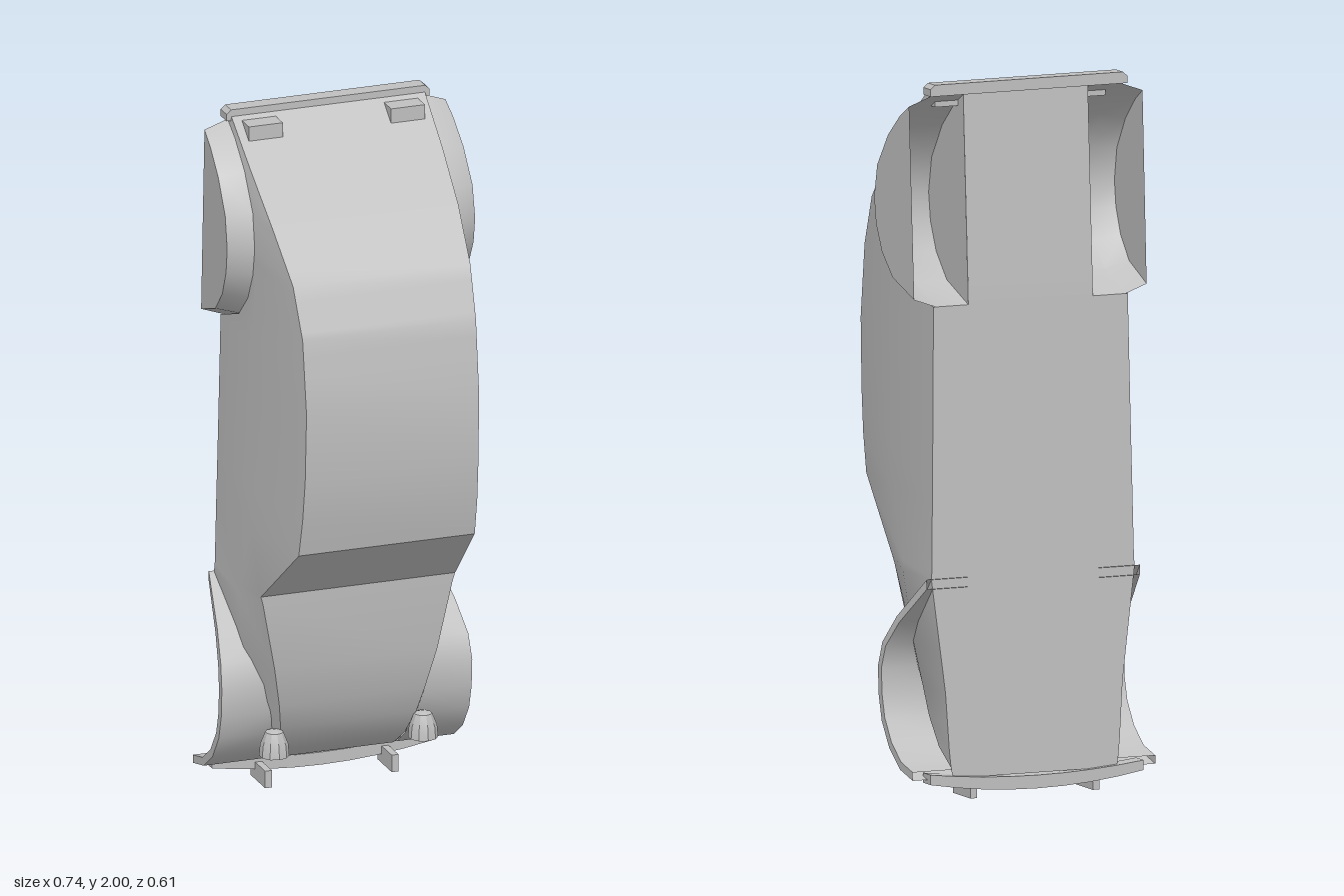
import * as THREE from 'three';
import { toCreasedNormals } from 'three/addons/utils/BufferGeometryUtils.js';

const grey = new THREE.MeshStandardMaterial({ color: 0xc0c0c0, side: THREE.DoubleSide });
grey.name = 'plain grey';

const lerp = THREE.MathUtils.lerp;

// Linear interpolation of column c in a table sorted by its first column
function sample(table, y, c) {
  for (let i = 1; i < table.length; i++) {
    const a = table[i - 1], b = table[i];
    if (y <= b[0]) return lerp(a[c], b[c], (y - a[0]) / (b[0] - a[0]));
  }
  return table[table.length - 1][c];
}

// Skin a list of equal-length sections; capped ends are filled as fans
function loft(name, sections, { closed = false, caps = false, skip = () => false } = {}) {
  const pos = [];
  const tri = (a, b, c) => pos.push(...a, ...b, ...c);
  const n = sections[0].length;
  for (let i = 0; i + 1 < sections.length; i++) {
    const a = sections[i], b = sections[i + 1];
    for (let j = 0; j < (closed ? n : n - 1); j++) {
      if (skip(i, j)) continue;
      const k = (j + 1) % n;
      tri(a[j], a[k], b[k]);
      tri(a[j], b[k], b[j]);
    }
  }
  if (caps) {
    const s = sections[0], e = sections[sections.length - 1];
    for (let j = 1; j + 1 < n; j++) {
      tri(s[0], s[j + 1], s[j]);
      tri(e[0], e[j], e[j + 1]);
    }
  }
  const g = new THREE.BufferGeometry();
  g.setAttribute('position', new THREE.Float32BufferAttribute(pos, 3));
  const mesh = new THREE.Mesh(toCreasedNormals(g, 0.5), grey);
  mesh.name = name;
  return mesh;
}

function box(name, w, h, d, x, y, z) {
  const m = new THREE.Mesh(new THREE.BoxGeometry(w, h, d), grey);
  m.name = name;
  m.position.set(x, y, z);
  return m;
}

// Body rows: y, top z, top half width, lower half width
const body = [
  [0.06, -0.26, 0.17, 0.25], [0.09, -0.17, 0.18, 0.255], [0.14, -0.10, 0.185, 0.26],
  [0.22, -0.045, 0.2, 0.265], [0.3, -0.015, 0.215, 0.27], [0.42, 0.015, 0.24, 0.285],
  [0.62, 0.03, 0.28, 0.31], [0.645, 0.032, 0.287, 0.308], [0.84, 0.26, 0.26, 0.305],
  [0.95, 0.285, 0.258, 0.303], [1.07, 0.3, 0.256, 0.301], [1.27, 0.308, 0.255, 0.298],
  [1.48, 0.28, 0.256, 0.295], [1.62, 0.22, 0.262, 0.294], [1.75, 0.09, 0.275, 0.292],
  [1.87, -0.06, 0.283, 0.29], [1.98, -0.205, 0.286, 0.288],
];
const floorLine = [[0.06, -0.29], [1.4, -0.262], [1.98, -0.228]];
const floorZ = y => sample(floorLine, y, 1);

// Wheel arch outlines: y, z
const rearArch = [
  [1.38, floorZ(1.38)], [1.43, -0.12], [1.5, -0.05], [1.58, -0.012], [1.66, 0],
  [1.76, -0.02], [1.86, -0.09], [1.93, -0.17], [1.965, floorZ(1.965)],
];
const frontArch = [
  [0.62, -0.28], [0.5, -0.14], [0.42, -0.075], [0.35, -0.055], [0.27, -0.06],
  [0.2, -0.08], [0.13, -0.13], [0.08, -0.2], [0.06, -0.285],
];
const WELL = 0.19;

function makeBody() {
  const ys = [...new Set([...body, ...rearArch].map(r => r[0]))].sort((a, b) => a - b);
  const inWell = y => y >= 1.38 && y <= 1.965;
  const rows = ys.map(y => {
    const [top, xt, xb] = [1, 2, 3].map(c => sample(body, y, c));
    const f = floorZ(y);
    const sill = inWell(y) ? sample(rearArch, y, 1) : f;
    const belt = Math.max(sill, Math.min(0, top - 0.12));
    const half = [[WELL, f], [xb, f], [xb, sill], [xb, belt], [xt, top]];
    return [...half.map(([x, z]) => [x, y, z]), ...half.reverse().map(([x, z]) => [-x, y, z])];
  });
  // Side openings and floor openings are left for the rear wheel wells
  const skip = (i, j) => j === 1 || j === 7 ||
    ((j === 0 || j === 8) && inWell(ys[i]) && inWell(ys[i + 1]));
  return loft('body', rows, { closed: true, caps: true, skip });
}

// Rear fender with the wheel well behind it, closed outer side
function makeRearFender(s) {
  const at = x => rearArch.map(([y, z]) => [s * x, y, z]);
  const outer = rearArch.map(([y, z]) => {
    const iy = lerp(1.67, y, 0.92), iz = lerp(-0.25, z, 0.91);
    return [s * (0.355 + 0.05 * (iz + 0.25)), iy, iz];
  });
  return loft('rearFender', [at(WELL), at(0.29), outer], { caps: true });
}

// Front fender is an arched band, open to the side
function makeFrontFender(s) {
  const edge = y => 0.37 - 0.045 * Math.pow(Math.max(0, (y - 0.38) / 0.24), 1.3);
  const inner = frontArch.map(([y, z]) => [lerp(0.32, y, 0.91), -0.285 + (z + 0.285) * 0.9]);
  const ring = (arch, x) => arch.map(([y, z], i) => [s * (x ?? edge(frontArch[i][0])), y, z]);
  return loft('frontFender',
    [ring(frontArch, 0.2), ring(frontArch), ring(inner), ring(inner, 0.2)]);
}

function makeFrontBumper() {
  const shape = new THREE.Shape();
  shape.moveTo(-0.325, 0.048);
  shape.quadraticCurveTo(0, -0.012, 0.325, 0.048);
  shape.lineTo(0.325, 0.076);
  shape.quadraticCurveTo(0, 0.034, -0.325, 0.076);
  shape.closePath();
  const g = new THREE.ExtrudeGeometry(shape, { depth: 0.05, bevelEnabled: false, curveSegments: 8 });
  const m = new THREE.Mesh(g, grey);
  m.name = 'frontBumper';
  m.position.z = -0.305;
  return m;
}

function makeRearBumper() {
  const shape = new THREE.Shape();
  shape.moveTo(-0.3, 1.968);
  shape.lineTo(0.3, 1.968);
  shape.lineTo(0.3, 1.988);
  shape.lineTo(0.287, 2);
  shape.lineTo(-0.287, 2);
  shape.lineTo(-0.3, 1.988);
  shape.closePath();
  const m = new THREE.Mesh(new THREE.ExtrudeGeometry(shape, { depth: 0.047, bevelEnabled: false }), grey);
  m.name = 'rearBumper';
  m.position.z = -0.252;
  return m;
}

function makeHeadlight(s) {
  const pts = [[0, 0], [0.042, 0], [0.039, 0.035], [0.025, 0.07], [0, 0.077]]
    .map(p => new THREE.Vector2(...p));
  const g = toCreasedNormals(new THREE.LatheGeometry(pts, 10), 0.5);
  const m = new THREE.Mesh(g, grey);
  m.name = 'headlight';
  m.position.set(s * 0.22, 0.145, -0.043);
  return m;
}

export function createModel() {
  const car = new THREE.Group();
  car.name = 'carBody';
  car.add(makeBody(), makeFrontBumper(), makeRearBumper());
  for (const s of [1, -1]) {
    car.add(makeRearFender(s), makeFrontFender(s), makeHeadlight(s));
    car.add(box('bumperGuard', 0.02, 0.05, 0.115, s * 0.187, 0.025, -0.233));
    car.add(box('tailLight', 0.1, 0.042, 0.058, s * 0.21, 1.949, -0.164));
  }
  return car;
}
